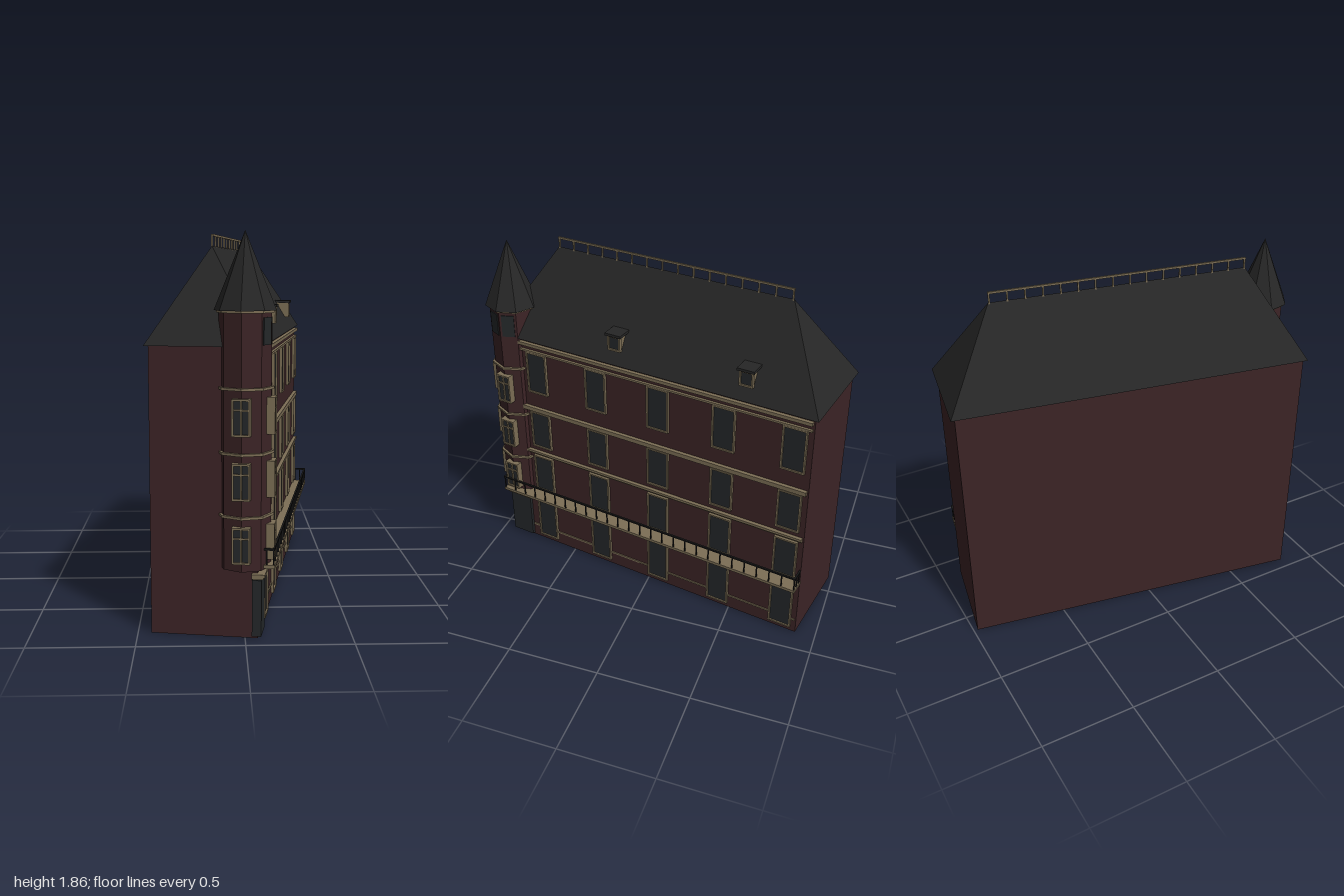
import * as THREE from 'three';

const mat = (name, color) => {
  const m = new THREE.MeshStandardMaterial({ color });
  m.name = name;
  return m;
};

export function createModel() {
  const brick = mat('brick', 0x3c2426);
  const slate = mat('slate', 0x262626);
  const stone = mat('stone', 0x7d6f56);
  const glass = mat('glass', 0x25282a);
  const iron = mat('iron', 0x171717);

  const model = new THREE.Group();
  model.name = 'cornerHouse';
  const house = new THREE.Group();
  house.name = 'house';
  house.rotation.y = -Math.PI / 18; // the house stands at an angle
  model.add(house);

  const add = (parent, name, geo, material, x = 0, y = 0, z = 0) => {
    const mesh = new THREE.Mesh(geo, material);
    mesh.name = name;
    mesh.position.set(x, y, z);
    parent.add(mesh);
    return mesh;
  };
  // Box given by its limits on each axis
  const box = (parent, name, material, x0, x1, y0, y1, z0, z1) =>
    add(parent, name, new THREE.BoxGeometry(x1 - x0, y1 - y0, z1 - z0), material,
      (x0 + x1) / 2, (y0 + y1) / 2, (z0 + z1) / 2);
  const facet = (geo) => {
    const g = geo.toNonIndexed();
    g.computeVertexNormals();
    return g;
  };

  // Framed window facing +z, with its wall plane at z = 0
  const framedWindow = (name, w, h, back, depth, cross) => {
    const g = new THREE.Group();
    g.name = name;
    const t = 0.009, a = w / 2, b = h / 2, pane = depth - 0.008;
    box(g, 'pane', glass, -a + t / 2, a - t / 2, -b + t / 2, b - t / 2, back, pane);
    for (const s of [-1, 1]) {
      box(g, 'jamb', stone, s * (a - t / 2) - t / 2, s * (a - t / 2) + t / 2, -b, b, back, depth);
      box(g, 'rail', stone, -a + t, a - t, s * (b - t / 2) - t / 2, s * (b - t / 2) + t / 2, back, depth);
    }
    if (cross) {
      box(g, 'mullion', stone, -0.004, 0.004, -b + t, b - t, pane - 0.002, depth - 0.001);
      box(g, 'transom', stone, -a + t, a - t, b * 0.36, b * 0.36 + 0.008, pane - 0.002, depth - 0.001);
    }
    return g;
  };

  // Main walls
  const wallX = 0.216, back = -0.943, front = 0.889;
  box(house, 'walls', brick, -0.287, wallX, 0, 1.352, back, front);

  // Hipped roof: a box whose top is drawn in to a ridge
  const ridge0 = -0.694, ridge1 = 0.637, ridgeX = -0.035, eave = 1.35, ridgeY = 1.8;
  const roofGeo = new THREE.BoxGeometry(0.541, 1, 1.871);
  const p = roofGeo.attributes.position;
  for (let i = 0; i < p.count; i++) {
    const z = p.getZ(i);
    if (p.getY(i) > 0) p.setXYZ(i, ridgeX, ridgeY, z > 0 ? ridge1 : ridge0);
    else p.setXYZ(i, p.getX(i) + ridgeX, eave, z - 0.0285);
  }
  add(house, 'roof', facet(roofGeo), slate);

  // Ridge railing
  const posts = 16;
  for (let i = 0; i < posts; i++) {
    const z = THREE.MathUtils.lerp(ridge0 + 0.005, ridge1 - 0.005, i / (posts - 1));
    box(house, 'ridgePost', stone, ridgeX - 0.004, ridgeX + 0.004, 1.79, 1.85, z - 0.004, z + 0.004);
  }
  box(house, 'ridgeRail', stone, ridgeX - 0.005, ridgeX + 0.005, 1.845, 1.855, ridge0, ridge1);

  // Stone courses along the street wall: bottom, top, projection
  const courses = [
    [0.08, 0.09, 0.006], [0.328, 0.336, 0.02], [0.618, 0.628, 0.012], [0.628, 0.642, 0.02],
    [0.912, 0.936, 0.02], [1.28, 1.291, 0.014], [1.317, 1.335, 0.02],
  ];
  for (const [y0, y1, d] of courses)
    box(house, 'stoneCourse', stone, wallX - 0.01, wallX + d, y0, y1, back + 0.008, 0.76);

  // Street windows: five columns by four storeys
  const storeys = [[0.03, 0.312], [0.37, 0.608], [0.672, 0.905], [1.03, 1.28]];
  for (const [y0, y1] of storeys) {
    for (let c = 0; c < 5; c++) {
      const w = framedWindow('streetWindow', 0.128, y1 - y0, -0.01, 0.015, false);
      w.position.set(wallX, (y0 + y1) / 2, 0.65 - c * 0.375);
      w.rotation.y = Math.PI / 2;
      house.add(w);
    }
  }

  // Corner door with its canopy
  box(house, 'door', glass, 0.19, 0.234, 0.012, 0.28, 0.766, 0.902);
  box(house, 'doorLintel', stone, 0.19, 0.245, 0.287, 0.298, 0.758, 0.912);
  box(house, 'doorCornice', stone, 0.19, 0.252, 0.298, 0.312, 0.755, 0.917);

  // Balcony
  const balX = 0.295, bal0 = -0.945, bal1 = 0.9;
  box(house, 'balconySlab', stone, wallX - 0.01, balX, 0.338, 0.354, bal0, bal1);
  const baluster = (x, z) =>
    box(house, 'baluster', iron, x - 0.003, x + 0.003, 0.35, 0.425, z - 0.003, z + 0.003);
  for (let i = 0; i < 27; i++)
    baluster(balX - 0.006, THREE.MathUtils.lerp(bal0 + 0.006, bal1 - 0.006, i / 26));
  box(house, 'balconyRail', iron, balX - 0.011, balX - 0.001, 0.423, 0.432, bal0, bal1);
  for (const z of [bal0 + 0.006, bal1 - 0.006]) {
    box(house, 'balconyEndRail', iron, wallX, balX - 0.002, 0.423, 0.432, z - 0.005, z + 0.005);
    for (const x of [0.228, 0.258]) baluster(x, z);
  }

  // Dormers
  for (const z of [0.158, -0.578]) {
    box(house, 'dormerBody', stone, 0.11, 0.205, 1.42, 1.502, z - 0.033, z + 0.033);
    const w = framedWindow('dormerWindow', 0.074, 0.084, -0.008, 0.011, false);
    w.position.set(0.205, 1.461, z);
    w.rotation.y = Math.PI / 2;
    house.add(w);
    box(house, 'dormerRoof', slate, 0.1, 0.224, 1.502, 1.516, z - 0.046, z + 0.046);
  }

  // Octagonal corner turret
  const turret = new THREE.Group();
  turret.name = 'turret';
  turret.position.set(0.149, 0, 0.837);
  house.add(turret);
  const drum = (name, material, rTop, rBottom, y0, y1) =>
    add(turret, name, facet(new THREE.CylinderGeometry(rTop, rBottom, y1 - y0, 8)), material, 0, (y0 + y1) / 2, 0);
  drum('turretBody', brick, 0.121, 0.121, 0.333, 1.51);
  drum('turretEaves', stone, 0.132, 0.132, 1.5, 1.51);
  add(turret, 'turretRoof', facet(new THREE.ConeGeometry(0.143, 0.353, 8)), slate, 0, 1.6865, 0);
  for (const y of [0.583, 0.872, 1.165]) drum('turretBand', stone, 0.134, 0.134, y - 0.006, y + 0.006);

  // Turret windows on the two outward corners
  for (const y of [0.459, 0.751, 1.041]) {
    for (const angle of [0, Math.PI / 2]) {
      const w = framedWindow('turretWindow', 0.084, 0.168, -0.02, 0.02, true);
      w.position.set(Math.sin(angle) * 0.122, y, Math.cos(angle) * 0.122);
      w.rotation.y = angle;
      turret.add(w);
    }
  }
  // Small panes beneath the turret roof
  for (const k of [1.5, 2.5]) {
    const angle = k * Math.PI / 4;
    const pane = add(turret, 'turretTopPane', new THREE.BoxGeometry(0.068, 0.122, 0.008), glass,
      Math.sin(angle) * 0.113, 1.42, Math.cos(angle) * 0.113);
    pane.rotation.y = angle;
  }

  return model;
}
